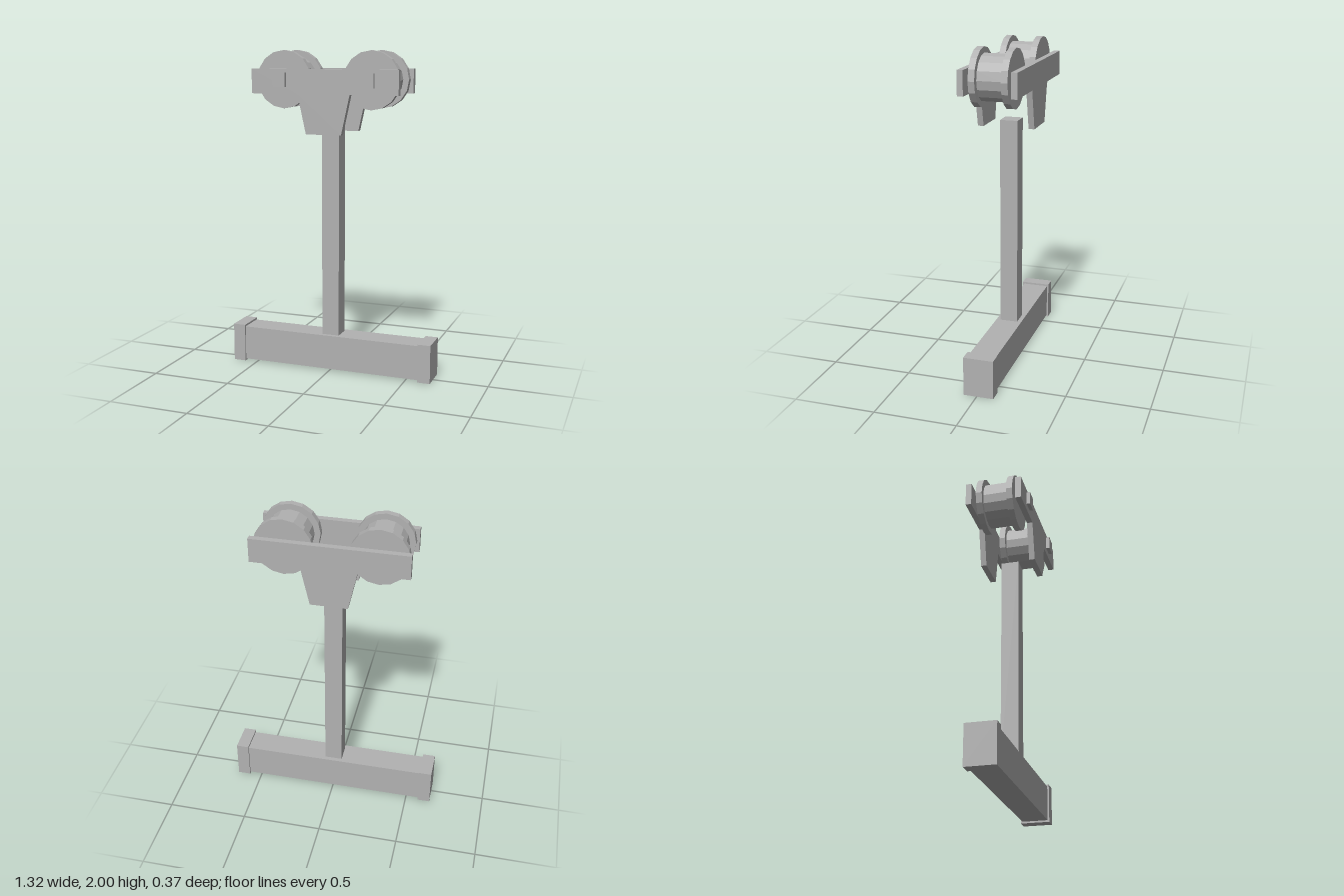
import * as THREE from 'three';

export function createModel() {
  const model = new THREE.Group();
  model.name = 'trolleyHanger';
  const steel = new THREE.MeshStandardMaterial({ color: 0xb2b2b2, flatShading: true });
  steel.name = 'grey steel';
  const midZ = -0.011; // centre plane of the hanger

  const add = (name, geometry, x, y, z, parent = model) => {
    const mesh = new THREE.Mesh(geometry, steel);
    mesh.name = name;
    mesh.position.set(x, y, z);
    parent.add(mesh);
    return mesh;
  };
  const box = (w, h, d) => new THREE.BoxGeometry(w, h, d);
  const disc = (r, depth) => new THREE.CylinderGeometry(r, r, depth, 16).rotateX(Math.PI / 2);

  // Cross beam and hanging post
  add('crossBeam', box(1.17, 0.217, 0.164), 0, 0.12, midZ);
  add('post', box(0.11, 1.305, 0.11), 0, 0.8805, midZ);

  // T-shaped side plates with a tapered lower tongue
  const outline = [[-0.464, 1.889], [-0.464, 1.741], [-0.165, 1.741], [-0.112, 1.502],
    [0.112, 1.502], [0.165, 1.741], [0.464, 1.741], [0.464, 1.889]];
  const plate = new THREE.ExtrudeGeometry(
    new THREE.Shape(outline.map(([x, y]) => new THREE.Vector2(x, y))),
    { depth: 0.036, bevelEnabled: false });
  add('frontPlate', plate, 0, 0, 0.129);
  add('backPlate', plate, 0, 0, -0.187);

  for (const [side, s] of [['right', -1], ['left', 1]]) {
    // Beam end cap
    add(side + 'EndCap', box(0.079, 0.241, 0.184), s * 0.6185, 0.1205, midZ);

    // Flanged wheel: hub between two larger discs
    const wheel = new THREE.Group();
    wheel.name = side + 'Wheel';
    wheel.position.set(s * 0.278, 1.825, midZ);
    model.add(wheel);
    add('hub', disc(0.139, 0.154), 0, 0, 0, wheel);
    add('frontFlange', disc(0.175, 0.039), 0, 0, 0.0965, wheel);
    add('backFlange', disc(0.175, 0.039), 0, 0, -0.0965, wheel);

    // Square bolt head on the front plate
    add(side + 'Bolt', box(0.081, 0.085, 0.023), s * 0.278, 1.825, 0.1755);
  }
  return model;
}
